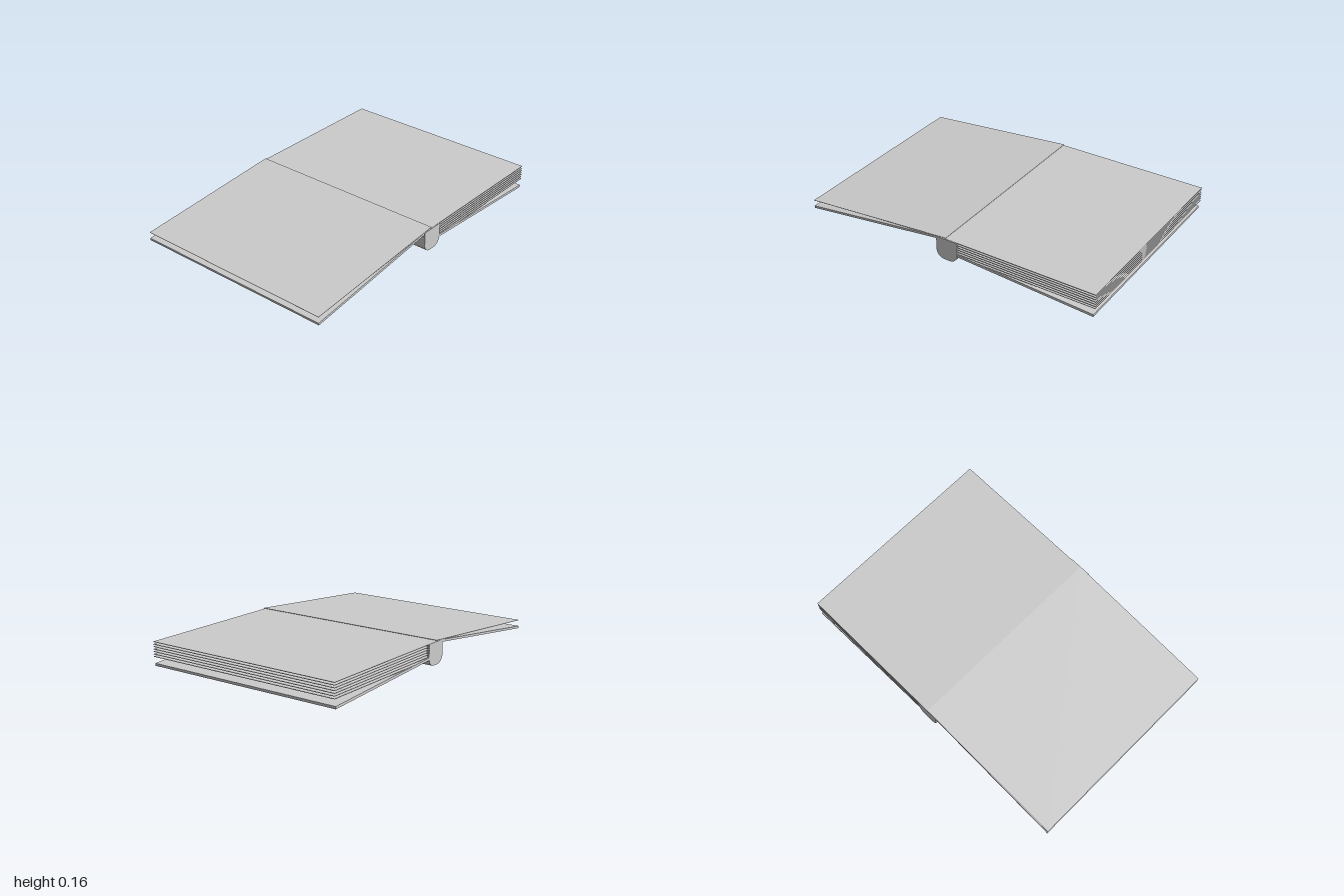
import * as THREE from 'three';

export function createModel() {
  const book = new THREE.Group();
  book.name = 'openBook';
  const material = new THREE.MeshStandardMaterial({ color: 0xcccccc, side: THREE.DoubleSide });

  // Flat board or sheet whose centre line runs from (z0, y0) to (z1, y1)
  function addSlab(name, z0, y0, z1, y1, thickness) {
    const length = Math.hypot(z1 - z0, y1 - y0);
    const slab = new THREE.Mesh(new THREE.BoxGeometry(1.33, thickness, length), material);
    slab.name = name;
    slab.position.set(-0.002, (y0 + y1) / 2, (z0 + z1) / 2);
    slab.rotation.x = -Math.atan2(y1 - y0, z1 - z0);
    book.add(slab);
  }

  // Spine: flat top, rounded lower edges, extruded along x
  const r = 0.055, zMin = -0.09, zMax = 0.056, yMin = 0.01, yMax = 0.15;
  const profile = new THREE.Shape();
  profile.moveTo(-zMin, yMax);
  profile.lineTo(-zMax, yMax);
  profile.lineTo(-zMax, yMin + r);
  profile.absarc(-zMax + r, yMin + r, r, Math.PI, Math.PI * 1.5, false);
  profile.absarc(-zMin - r, yMin + r, r, Math.PI * 1.5, Math.PI * 2, false);
  profile.closePath();
  const spineGeometry = new THREE.ExtrudeGeometry(profile, { depth: 1.334, bevelEnabled: false, curveSegments: 8 });
  spineGeometry.translate(0, 0, -0.667).rotateY(Math.PI / 2);
  const spine = new THREE.Mesh(spineGeometry, material);
  spine.name = 'spine';
  book.add(spine);

  // Covers sloping down on either side of the spine
  addSlab('frontCover', 0.03, 0.145, 0.998, 0.025, 0.015);
  addSlab('backCover', -0.06, 0.063, -0.99, 0.009, 0.016);

  // Single turned page over the front cover
  addSlab('turnedPage', -0.01, 0.157, 0.999, 0.072, 0.002);

  // Stack of level pages over the back cover
  for (let i = 0; i < 7; i++) {
    const y = 0.06 + i * 0.015;
    addSlab('page' + (i + 1), 0, y, -1, y, 0.003);
  }
  return book;
}
